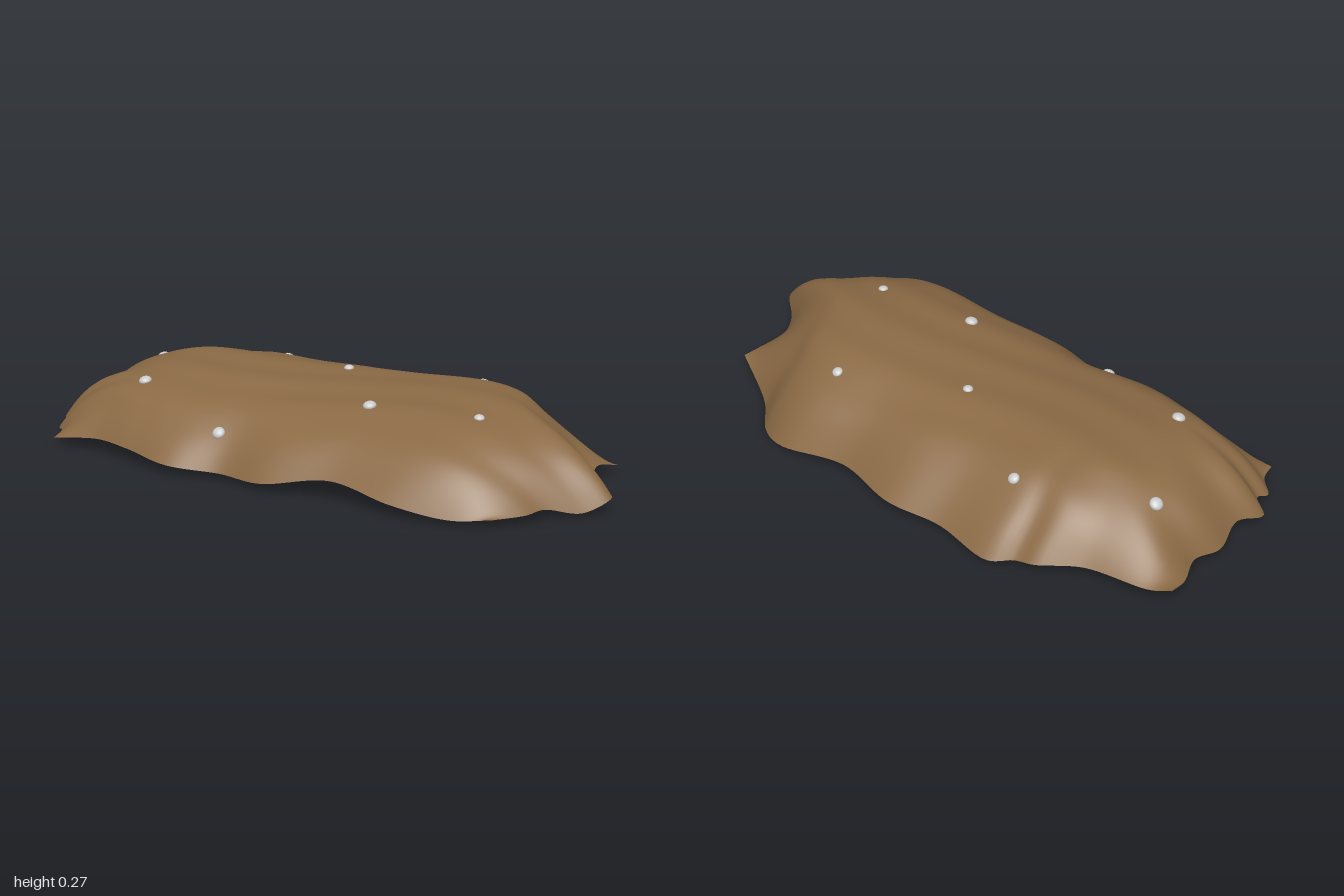
import * as THREE from 'three';

const V = (x, y, z) => new THREE.Vector3(x, y, z);
const edge = (pts) => new THREE.CatmullRomCurve3(pts.map((p) => V(...p)));

// Four ragged hems, each point x, y, z
const back = edge([
  [-1, 0.06, -0.28], [-0.94, 0.05, -0.31], [-0.73, 0.05, -0.36], [-0.6, 0.04, -0.44],
  [-0.53, 0.025, -0.45], [-0.46, 0.015, -0.495], [-0.25, 0.03, -0.48], [-0.06, 0.04, -0.51],
  [0.17, 0.045, -0.47], [0.42, 0.02, -0.51], [0.53, 0.005, -0.47], [0.65, 0.003, -0.36],
  [0.87, 0.03, -0.24]]);
const front = edge([
  [-0.87, 0.03, 0.44], [-0.7, 0.05, 0.43], [-0.55, 0.05, 0.465], [-0.37, 0.035, 0.505],
  [-0.19, 0.025, 0.465], [-0.02, 0.03, 0.495], [0.21, 0.068, 0.46], [0.44, 0.04, 0.49],
  [0.63, 0.02, 0.47], [0.75, 0.03, 0.43]]);
const left = edge([
  [-1, 0.06, -0.28], [-0.99, 0.04, -0.2], [-0.955, 0.04, -0.1], [-0.98, 0.03, 0],
  [-0.955, 0.05, 0.12], [-0.99, 0.03, 0.22], [-0.93, 0.04, 0.27], [-0.94, 0.025, 0.32],
  [-0.89, 0.035, 0.37], [-0.87, 0.03, 0.44]]);
const right = edge([
  [0.87, 0.03, -0.24], [0.84, 0.05, -0.14], [0.86, 0.025, -0.06], [0.91, 0.03, 0.03],
  [1, 0.05, 0.12], [0.94, 0.015, 0.2], [0.85, 0.035, 0.28], [0.82, 0.03, 0.34], [0.75, 0.03, 0.43]]);

// Patch spanned between the hems, rising steeply from them to a gently rounded top
function surface(u, v) {
  const p = V(0, 0, 0);
  const add = (q, w) => p.addScaledVector(q, w);
  add(back.getPointAt(u), 1 - v);
  add(front.getPointAt(u), v);
  add(left.getPointAt(v), 1 - u);
  add(right.getPointAt(v), u);
  add(back.getPoint(0), -(1 - u) * (1 - v));
  add(back.getPoint(1), -u * (1 - v));
  add(front.getPoint(0), -(1 - u) * v);
  add(front.getPoint(1), -u * v);
  const a = Math.abs(2 * u - 1), b = Math.abs(2 * v - 1);
  const dome = (1 - a ** (u < 0.5 ? 8 : 6.5)) * (1 - b ** (v < 0.5 ? 3.8 : 6));
  const folds = 0.005 * Math.cos(6 * (p.x - 0.4)) + 0.003 * Math.sin(32 * p.z + 2 * Math.sin(4 * p.x));
  const top = 0.258 + 0.01 * p.x - 0.3 * (p.z + 0.08) ** 2 + folds;
  p.y += dome * (top - p.y);
  return p;
}

export function createModel() {
  const group = new THREE.Group();

  // Draped sheet, with rows packed closer together near the steep hems
  const geometry = new THREE.PlaneGeometry(1, 1, 120, 80);
  const { position, uv } = geometry.attributes;
  const pack = (t) => t - 0.1 * Math.sin(2 * Math.PI * t);
  for (let i = 0; i < position.count; i++) {
    const p = surface(pack(uv.getX(i)), pack(1 - uv.getY(i)));
    position.setXYZ(i, p.x, p.y, p.z);
  }
  geometry.computeVertexNormals();
  const sheet = new THREE.Mesh(geometry,
    new THREE.MeshStandardMaterial({ color: 0x8b6a45, side: THREE.DoubleSide }));
  sheet.name = 'drapedSheet';
  group.add(sheet);

  // Flattened pebbles set into the sheet, each x, z, radius
  const pebbles = [
    [-0.41, -0.31, 0.019], [-0.81, -0.115, 0.022], [-0.05, -0.11, 0.017], [0.365, -0.285, 0.018],
    [0.205, 0.2, 0.022], [0.565, 0.15, 0.017], [-0.625, 0.25, 0.022], [-0.24, 0.39, 0.021]];
  const stone = new THREE.MeshStandardMaterial({ color: 0xcccccc });
  const normal = geometry.attributes.normal;
  pebbles.forEach(([x, z, r], n) => {
    let best = 0, least = Infinity;
    for (let i = 0; i < position.count; i++) {
      const d = Math.hypot(position.getX(i) - x, position.getZ(i) - z);
      if (d < least) { least = d; best = i; }
    }
    const pebble = new THREE.Mesh(new THREE.SphereGeometry(r, 16, 12), stone);
    pebble.name = `pebble${n + 1}`;
    pebble.scale.y = 0.65;
    pebble.position.set(x, position.getY(best), z);
    pebble.quaternion.setFromUnitVectors(V(0, 1, 0), V(0, 0, 0).fromBufferAttribute(normal, best));
    group.add(pebble);
  });
  return group;
}
